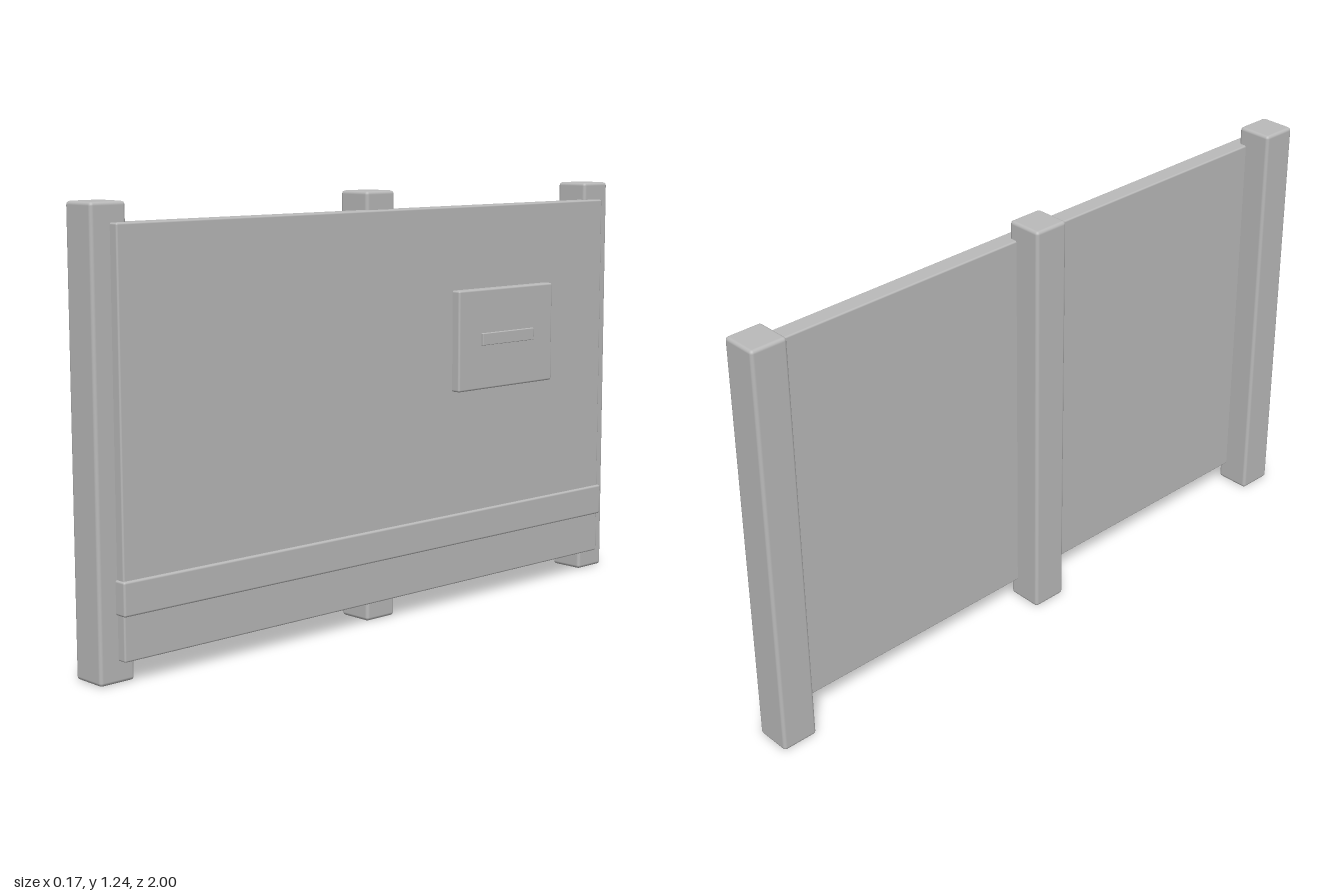
import * as THREE from 'three';
import { RoundedBoxGeometry } from 'three/addons/geometries/RoundedBoxGeometry.js';

export function createModel() {
  const model = new THREE.Group();
  model.name = 'boardFence';
  const grey = new THREE.MeshStandardMaterial({ color: 0xbababa });
  grey.name = 'grey';

  // Softly rounded block given by its extents along each axis
  function block(name, [x0, x1], [y0, y1], [z0, z1], radius) {
    const geometry = new RoundedBoxGeometry(x1 - x0, y1 - y0, z1 - z0, 2, radius);
    const mesh = new THREE.Mesh(geometry, grey);
    mesh.name = name;
    mesh.position.set((x0 + x1) / 2, (y0 + y1) / 2, (z0 + z1) / 2);
    model.add(mesh);
  }

  // Three upright posts along the back
  [['leftPost', 0.945], ['middlePost', 0], ['rightPost', -0.945]].forEach(([name, z]) =>
    block(name, [-0.087, 0.022], [0, 1.243], [z - 0.055, z + 0.055], 0.01));

  // Large board fixed across the posts
  block('panel', [-0.005, 0.05], [0.06, 1.19], [-0.942, 0.942], 0.005);

  // Raised rail near the bottom edge
  block('lowerRail', [0.003, 0.059], [0.182, 0.275], [-0.947, 0.947], 0.006);

  // Small plate with a raised bar
  block('plate', [0.04, 0.078], [0.645, 0.945], [-0.677, -0.265], 0.006);
  block('plateBar', [0.07, 0.087], [0.778, 0.814], [-0.585, -0.359], 0.002);

  return model;
}
